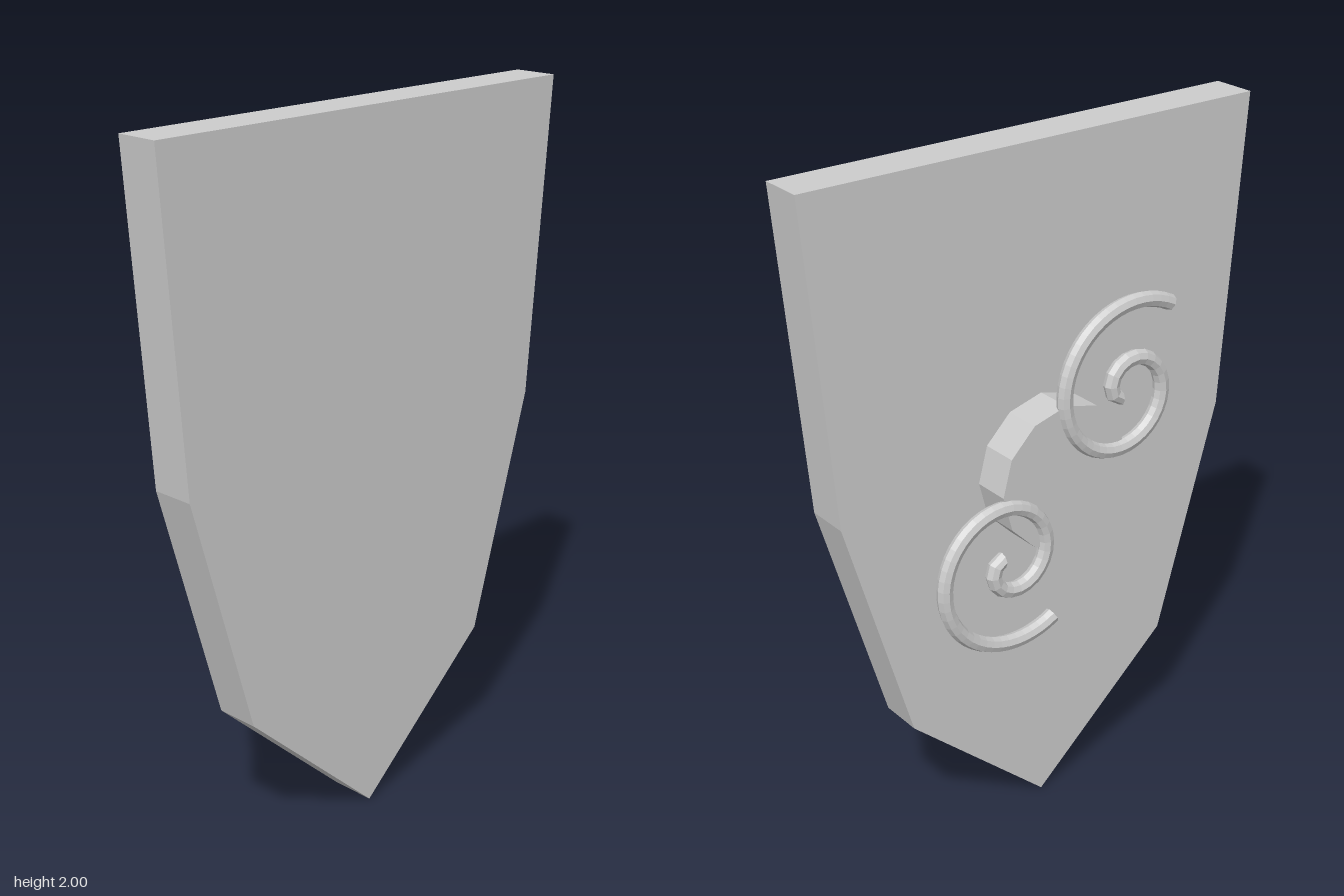
import * as THREE from 'three';

// Archimedean spiral in the xy plane, flip = -1 mirrors it vertically
class SpiralCurve extends THREE.Curve {
  constructor(cx, cy, flip) {
    super();
    this.cx = cx;
    this.cy = cy;
    this.flip = flip;
  }
  getPoint(t, target = new THREE.Vector3()) {
    const angle = THREE.MathUtils.degToRad(-125 + 525 * t);
    const r = 0.265 - 0.24 * t;
    return target.set(this.cx + r * Math.cos(angle), this.cy + this.flip * r * Math.sin(angle), -0.108);
  }
}

export function createModel() {
  const model = new THREE.Group();
  model.name = 'shield';
  const grey = new THREE.MeshStandardMaterial({ color: 0xcccccc, flatShading: true });
  grey.name = 'light grey';

  const add = (geometry, name, parent = model) => {
    const mesh = new THREE.Mesh(geometry, grey);
    mesh.name = name;
    parent.add(mesh);
    return mesh;
  };

  // Flat shield plate, pointed at the bottom
  const half = [[0.72, 2], [0.645, 1.09], [0.445, 0.4]];
  const outline = [
    ...half,
    [0, 0],
    ...half.map(([x, y]) => [-x, y]).reverse(),
  ].map(([x, y]) => new THREE.Vector2(x, y));
  add(new THREE.ExtrudeGeometry(new THREE.Shape(outline), { depth: 0.13, bevelEnabled: false }), 'plate');

  // Twelve-sided boss on the back
  const boss = new THREE.CylinderGeometry(0.21, 0.21, 0.11, 12);
  boss.rotateX(Math.PI / 2);
  boss.translate(0, 1.09, -0.055);
  add(boss, 'backBoss');

  // Two scrolls on the boss, one the vertical mirror of the other
  const radius = 0.0225;
  const addScroll = (name, cx, cy, flip) => {
    const scroll = new THREE.Group();
    scroll.name = name;
    model.add(scroll);
    const curve = new SpiralCurve(cx, cy, flip);
    add(new THREE.TubeGeometry(curve, 48, radius, 8), 'scrollTube', scroll);
    for (const [t, dir] of [[0, -1], [1, 1]]) {
      const cap = add(new THREE.CircleGeometry(radius, 8), 'scrollEnd', scroll);
      const point = curve.getPointAt(t);
      cap.position.copy(point);
      cap.lookAt(point.addScaledVector(curve.getTangentAt(t), dir));
    }
  };
  addScroll('lowerScroll', 0.195, 0.89, 1);
  addScroll('upperScroll', -0.205, 1.29, -1);

  return model;
}
